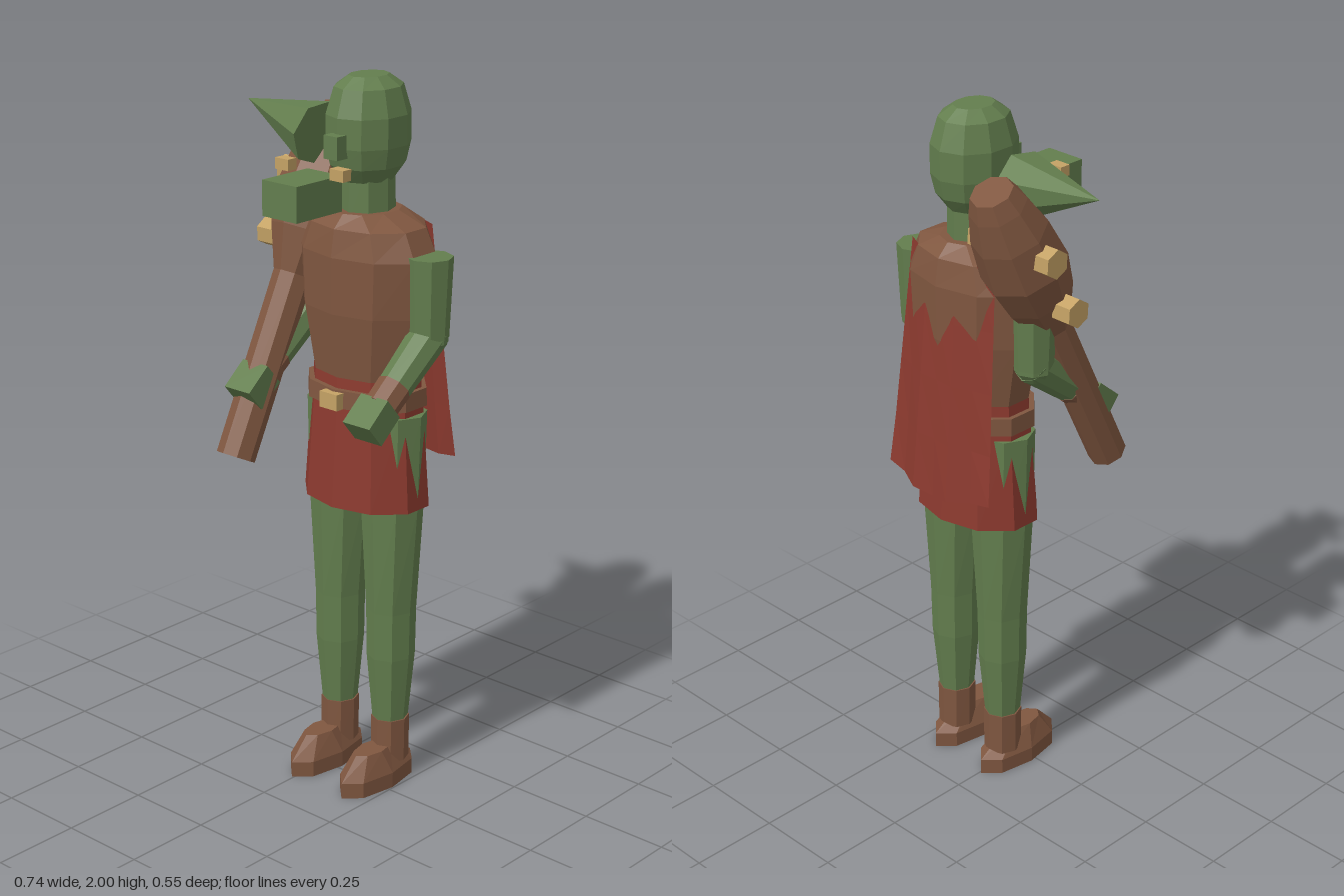
import * as THREE from 'three';

const paint = (name, color, side = THREE.FrontSide) => {
  const m = new THREE.MeshStandardMaterial({ color, flatShading: true, side });
  m.name = name;
  return m;
};

// Stack of elliptical rings, listed top to bottom as [y, rx, rz, zOffset]
function loft(rings, sides) {
  const g = new THREE.CylinderGeometry(1, 1, 1, sides, rings.length - 1);
  const p = g.attributes.position;
  for (let i = 0; i < p.count; i++) {
    const [y, rx, rz = rx, dz = 0] = rings[Math.round((0.5 - p.getY(i)) * (rings.length - 1))];
    p.setXYZ(i, p.getX(i) * rx, y, p.getZ(i) * rz + dz);
  }
  g.computeVertexNormals();
  return g;
}

export function createModel() {
  const model = new THREE.Group();
  model.name = 'clubWarrior';
  const skin = paint('greenSkin', 0x637e4e);
  const leather = paint('brownLeather', 0x805740);
  const cloth = paint('redCloth', 0x8c3a2f);
  const capeCloth = cloth.clone();
  capeCloth.side = THREE.DoubleSide;
  const gold = paint('paleGold', 0xc4a265);

  // Everything is placed around the body's own vertical axis
  const body = new THREE.Group();
  body.name = 'figure';
  body.position.set(0.09, 0, -0.075);
  model.add(body);

  const add = (name, geo, mat, x = 0, y = 0, z = 0, parent = body) => {
    const m = new THREE.Mesh(geo, mat);
    m.name = name;
    m.position.set(x, y, z);
    parent.add(m);
    return m;
  };
  const box = (w, h, d) => new THREE.BoxGeometry(w, h, d);
  // Tapered limb between two points
  const limb = (name, mat, a, b, ra, rb, sides = 8) => {
    const from = new THREE.Vector3(...a), to = new THREE.Vector3(...b);
    const dir = to.clone().sub(from);
    const m = add(name, new THREE.CylinderGeometry(rb, ra, dir.length(), sides), mat);
    m.position.copy(from).add(to).multiplyScalar(0.5);
    m.quaternion.setFromUnitVectors(new THREE.Vector3(0, 1, 0), dir.normalize());
    return m;
  };

  // Head and face
  add('head', loft([[2, 0.048, 0.06], [1.972, 0.086, 0.1], [1.9, 0.106, 0.123],
    [1.82, 0.106, 0.123], [1.765, 0.094, 0.11], [1.725, 0.065, 0.08]], 10), skin);
  add('neck', loft([[1.78, 0.068, 0.075], [1.62, 0.07, 0.078]], 8), skin);
  add('nose', box(0.048, 0.062, 0.06), skin, 0, 1.828, 0.119);
  add('jaw', box(0.12, 0.095, 0.17), skin, 0, 1.722, 0.256);
  for (const s of [-1, 1]) add('tusk', box(0.046, 0.03, 0.032), gold, s * 0.095, 1.785, 0.216);
  limb('ear', skin, [-0.168, 1.82, 0.01], [-0.46, 1.87, -0.022], 0.09, 0, 7);

  // Torso, waist, belt and skirt
  add('tunic', loft([[1.645, 0.085, 0.1], [1.61, 0.175, 0.135], [1.535, 0.213, 0.147],
    [1.38, 0.203, 0.144], [1.2, 0.168, 0.122]], 10), leather);
  add('waist', loft([[1.225, 0.166, 0.12], [1.1, 0.176, 0.125]], 10), cloth);
  add('belt', loft([[1.17, 0.184, 0.138], [1.12, 0.186, 0.14]], 10), leather);
  add('buckle', box(0.062, 0.045, 0.03), gold, 0, 1.142, 0.142);
  add('skirt', loft([[1.13, 0.176, 0.122], [0.833, 0.198, 0.142]], 10), cloth);

  // Cape: a bent sheet that widens and falls away from the back
  const capeGeo = new THREE.PlaneGeometry(2, 1, 6, 4);
  const cp = capeGeo.attributes.position;
  for (let i = 0; i < cp.count; i++) {
    const u = cp.getX(i), t = 0.5 - cp.getY(i);
    const fold = (Math.round((u + 1) * 3) % 2 ? 0.008 : -0.008) * t;
    const hem = t === 1 ? 0.03 * Math.abs(u) : 0;
    cp.setXYZ(i, u * (0.155 + 0.038 * t), 1.61 - 0.69 * t + hem,
      -0.125 - 0.055 * t + u * u * (0.045 - 0.005 * t) + fold);
  }
  capeGeo.computeVertexNormals();
  add('cape', capeGeo, capeCloth);

  for (const s of [-1, 1]) {
    // Leg and boot
    add('leg', loft([[1.1, 0.098, 0.085], [0.83, 0.09, 0.082], [0.52, 0.068, 0.072],
      [0.38, 0.066, 0.07], [0.18, 0.048, 0.052]], 8), skin, s * 0.095);
    add('bootCuff', loft([[0.188, 0.053, 0.055], [0.06, 0.052, 0.055]], 8), leather, s * 0.095);
    add('foot', loft([[0.11, 0.036, 0.068, 0.076], [0.045, 0.062, 0.147, 0.058],
      [0, 0.062, 0.147, 0.058]], 8), leather, s * 0.095);

    // Arm bent forward at the elbow
    const x = s * 0.214;
    limb('upperArm', skin, [x, 1.33, 0], [x, 1.55, 0], 0.055, 0.064);
    add('elbow', new THREE.SphereGeometry(0.056, 8, 5), skin, x, 1.335, 0);
    limb('forearm', skin, [x, 1.34, -0.01], [x, 1.185, 0.185], 0.053, 0.044);
    limb('wristCuff', leather, [x, 1.225, 0.135], [x, 1.18, 0.192], 0.048, 0.046);
    add('hand', box(0.092, 0.075, 0.094), skin, x, 1.158, 0.226).rotation.x = 0.7;
  }

  // Club resting on the shoulder, with studs on both sides
  const club = new THREE.Group();
  club.name = 'club';
  club.position.set(-0.218, 0.965, 0.29);
  club.rotation.x = -0.46;
  body.add(club);
  add('clubShaft', loft([[1, 0.058], [0.95, 0.078], [0.86, 0.104], [0.74, 0.118], [0.64, 0.1],
    [0.52, 0.055], [0, 0.054]], 8), leather, 0, 0, 0, club);
  for (const s of [-1, 1]) for (const y of [0.8, 0.62]) {
    const stud = add('clubStud', new THREE.CylinderGeometry(0.04, 0.04, 0.06, 6), gold, s * 0.113, y, 0, club);
    stud.rotation.z = Math.PI / 2;
  }
  return model;
}
